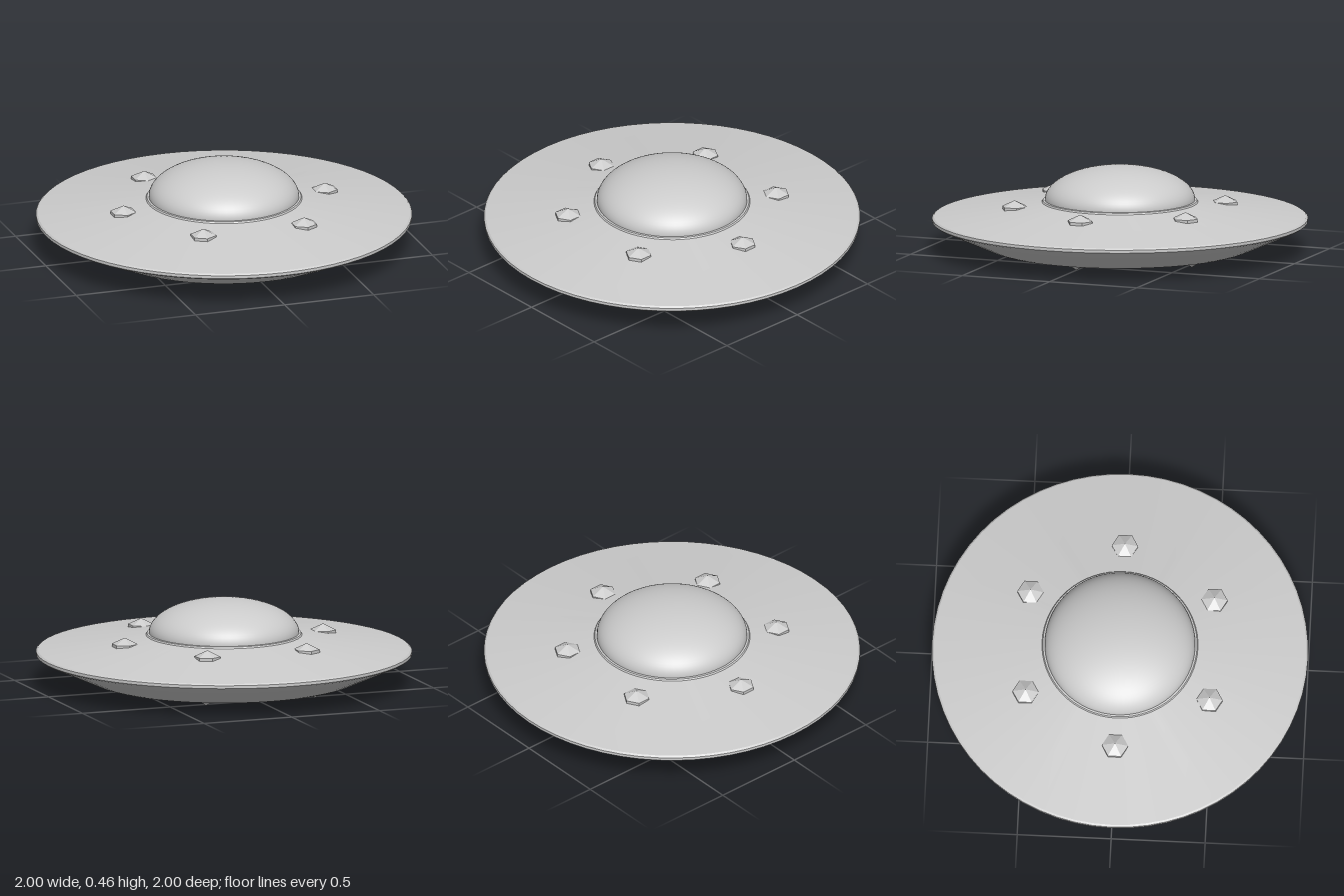
import * as THREE from 'three';
import { toCreasedNormals } from 'three/addons/utils/BufferGeometryUtils.js';

const material = new THREE.MeshStandardMaterial({ color: 0xcccccc });
const facetedMaterial = new THREE.MeshStandardMaterial({ color: 0xcccccc, flatShading: true });

function lathe(profile, segments) {
  return new THREE.LatheGeometry(profile.map(([r, y]) => new THREE.Vector2(r, y)), segments);
}

// Six copies of a faceted lamp, evenly spaced on a circle
function lampRing(name, geometry, radius) {
  const ring = new THREE.Group();
  ring.name = name;
  for (let i = 0; i < 6; i++) {
    const angle = (i * Math.PI) / 3;
    const lamp = new THREE.Mesh(geometry, facetedMaterial);
    lamp.name = 'lamp';
    lamp.position.set(radius * Math.cos(angle), 0, radius * Math.sin(angle));
    ring.add(lamp);
  }
  return ring;
}

export function createModel() {
  const group = new THREE.Group();
  group.name = 'flyingSaucer';

  // Saucer hull, from the conical recess underneath, round the rim, to the dome collar
  const hullProfile = [
    [0, 0.27], [0.075, 0.27], [0.48, 0.027],
    [0.66, 0.027], [0.7, 0.031], [0.73, 0.042],
    [0.99, 0.158], [1, 0.166], [1, 0.182], [0.99, 0.19],
    [0.415, 0.27], [0.41, 0.278], [0.4, 0.28], [0, 0.28],
  ];
  const hull = new THREE.Mesh(toCreasedNormals(lathe(hullProfile, 64), 0.5), material);
  hull.name = 'hull';
  group.add(hull);

  // Flattened dome
  const dome = new THREE.Mesh(
    new THREE.SphereGeometry(0.4, 64, 20, 0, Math.PI * 2, 0, Math.PI / 2), material);
  dome.name = 'dome';
  dome.scale.y = 0.18 / 0.4;
  dome.position.y = 0.28;
  group.add(dome);

  // Lamps on the upper deck and on the underside
  group.add(lampRing('upperLamps', lathe([[0.07, 0.225], [0.07, 0.257], [0, 0.29]], 6), 0.565));
  group.add(lampRing('lowerLamps', lathe([[0, 0], [0.034, 0.022], [0.034, 0.04]], 6), 0.62));

  return group;
}
